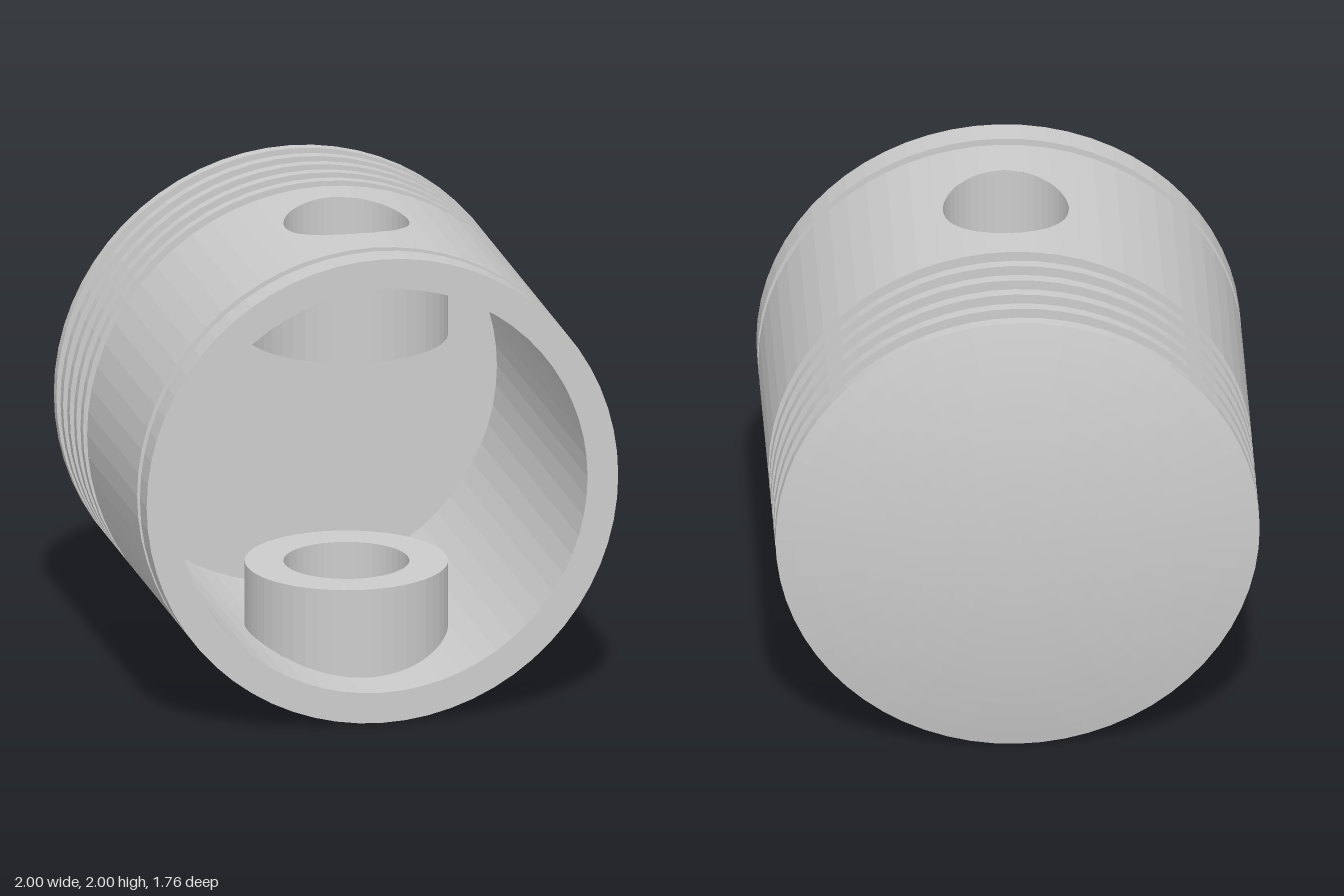
import * as THREE from 'three';

const SIDES = 64;            // facets around the piston
const R = 1, GROOVE = 0.9, BORE = 0.87;
const RIM = -0.77, FLOOR = -0.73, FRONT = 0.88;
const PIN = { z: 0.24, r: 0.26, boss: 0.42, inner: 0.49, sides: 48 };

const material = new THREE.MeshStandardMaterial({ color: 0xcccccc, flatShading: true });

function addMesh(group, name, geometry) {
  const mesh = new THREE.Mesh(geometry, material);
  mesh.name = name;
  group.add(mesh);
  return mesh;
}

// Turned part around the z axis from [radius, z] pairs
function turned(pairs) {
  const points = pairs.map(([r, z]) => new THREE.Vector2(r, z));
  return new THREE.LatheGeometry(points, SIDES).rotateX(Math.PI / 2);
}

// Height of the faceted cylinder of a given radius above its axis, at x
function facetHeight(radius, x) {
  const step = (2 * Math.PI) / SIDES;
  const i = Math.floor(Math.asin(x / radius) / step + 1e-6);
  const mid = (i + 0.5) * step;
  return (radius * Math.cos(step / 2) - x * Math.sin(mid)) / Math.cos(mid);
}

// Faceted tube wall along z, pierced at top and bottom by the pin hole
function piercedWall(radius, z0, z1, outward) {
  const pos = [];
  const quad = (a, b, za0, zb0, za1, zb1) => {
    const A = [...a, za0], B = [...b, zb0], C = [...b, zb1], D = [...a, za1];
    const tris = outward ? [A, C, B, A, D, C] : [A, B, C, A, C, D];
    tris.forEach((p) => pos.push(...p));
  };
  const holeHalf = (x) => Math.sqrt(Math.max(0, PIN.r ** 2 - x * x));
  for (let i = 0; i < SIDES; i++) {
    const [p, q] = [i, i + 1].map((k) => {
      const a = (k / SIDES) * Math.PI * 2;
      return [radius * Math.sin(a), radius * Math.cos(a)];
    });
    // split the facet at the hole's own corner positions
    const cuts = [0, 1];
    for (let k = 0; k <= PIN.sides / 2; k++) {
      const x = PIN.r * Math.cos((k * 2 * Math.PI) / PIN.sides);
      const t = (x - p[0]) / (q[0] - p[0]);
      if (t > 1e-4 && t < 1 - 1e-4) cuts.push(t);
    }
    cuts.sort((a, b) => a - b);
    for (let k = 0; k < cuts.length - 1; k++) {
      const [a, b] = [cuts[k], cuts[k + 1]].map((t) => [
        p[0] + (q[0] - p[0]) * t, p[1] + (q[1] - p[1]) * t]);
      const ha = holeHalf(a[0]), hb = holeHalf(b[0]);
      if (ha < 1e-4 && hb < 1e-4) {
        quad(a, b, z0, z0, z1, z1);
      } else {
        quad(a, b, z0, z0, PIN.z - ha, PIN.z - hb);
        quad(a, b, PIN.z + ha, PIN.z + hb, z1, z1);
      }
    }
  }
  const g = new THREE.BufferGeometry();
  g.setAttribute('position', new THREE.Float32BufferAttribute(pos, 3));
  g.computeVertexNormals();
  return g;
}

// Pin boss: a ring whose outer end follows the curved wall
function bossGeometry() {
  const { r, boss, inner, sides } = PIN;
  const profile = [[boss, inner], [boss, 1], [r, 1], [r, inner], [boss, inner]];
  const g = new THREE.LatheGeometry(profile.map(([a, b]) => new THREE.Vector2(a, b)), sides);
  const p = g.attributes.position;
  for (let i = 0; i < p.count; i++) {
    if (p.getY(i) < 0.9) continue;
    const x = p.getX(i);
    const isHole = Math.hypot(x, p.getZ(i)) < (r + boss) / 2;
    p.setY(i, facetHeight(isHole ? R : BORE + 0.02, x));
  }
  g.computeVertexNormals();
  return g.translate(0, 0, PIN.z);
}

export function createModel() {
  const piston = new THREE.Group();
  piston.name = 'piston';
  const body = new THREE.Group();
  body.name = 'body';
  body.position.y = 1;
  piston.add(body);

  // Domed crown: a shallow spherical cap
  const sag = FRONT + RIM;
  const domeR = (1 + sag * sag) / (2 * sag);
  const dome = [];
  for (let i = 0; i <= 14; i++) {
    const r = i / 14;
    dome.push([r, -FRONT + domeR - Math.sqrt(domeR * domeR - r * r)]);
  }
  addMesh(body, 'crown', turned(dome));

  // Ring belt: five grooves between narrow lands
  const belt = [[R, RIM]];
  for (let i = 0; i < 5; i++) {
    const z = -0.723 + i * 0.118;
    belt.push([R, z], [GROOVE, z], [GROOVE, z + 0.073], [R, z + 0.073]);
  }
  const skirtStart = belt[belt.length - 1][1];
  addMesh(body, 'ringBelt', turned(belt));

  // Skirt with the pin hole, then the lower groove and open rim
  addMesh(body, 'skirt', piercedWall(R, skirtStart, 0.71, true));
  addMesh(body, 'lowerRim', turned([
    [R, 0.71], [GROOVE, 0.71], [GROOVE, 0.76], [R, 0.76], [R, FRONT], [BORE, FRONT]]));

  // Hollow inside
  addMesh(body, 'bore', piercedWall(BORE, FLOOR, FRONT, false));
  addMesh(body, 'boreFloor', turned([[BORE, FLOOR], [0, FLOOR]]));

  // Upper and lower pin bosses
  const boss = bossGeometry();
  addMesh(body, 'upperPinBoss', boss);
  addMesh(body, 'lowerPinBoss', boss).rotation.z = Math.PI;

  return piston;
}
